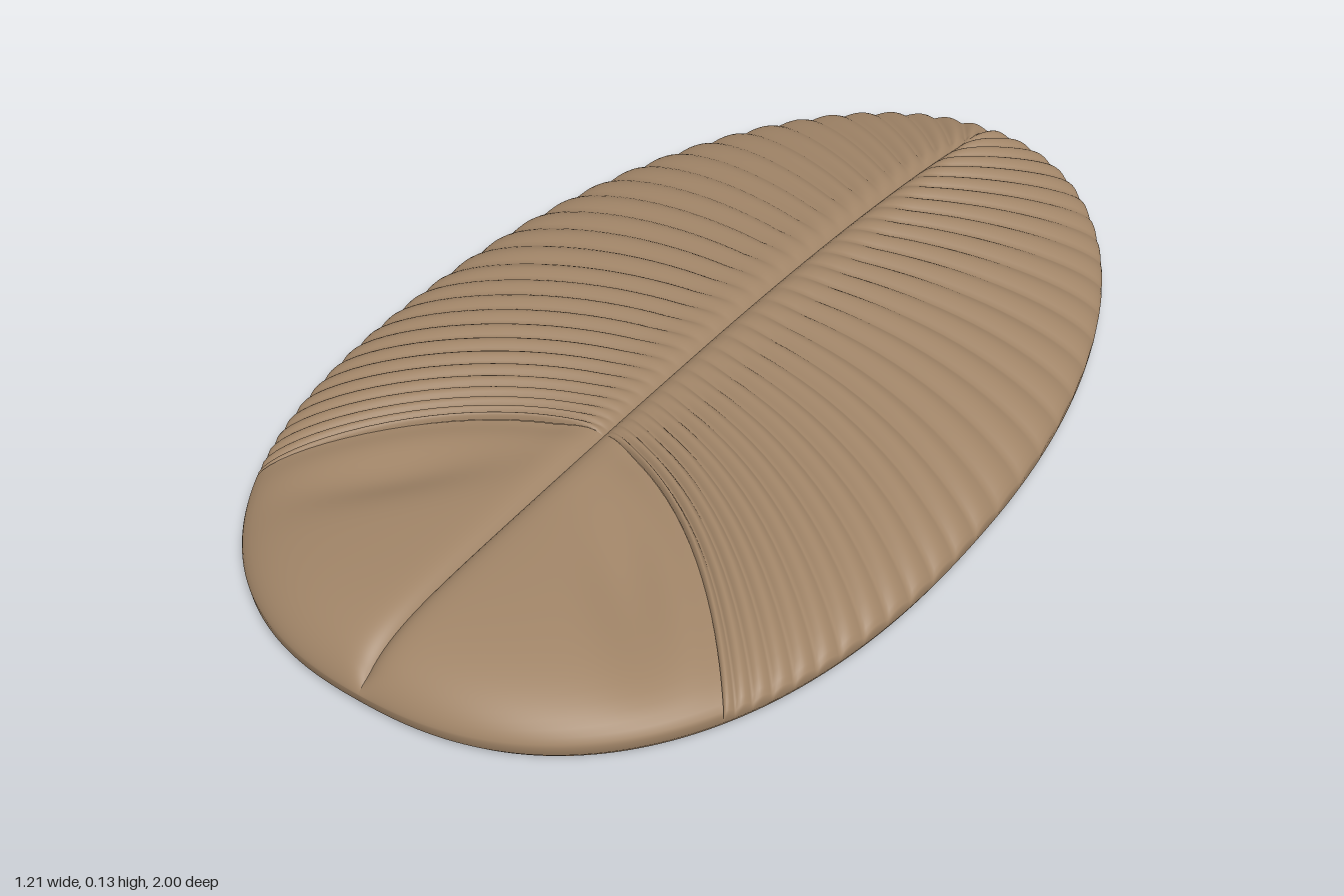
import * as THREE from 'three';

const RIBS = 30, COLS = 26;
const HALF_W = 0.607, MID_Z = 0.1, FRONT = 0.9, BACK = 1.1, HEAD_ANGLE = 0.81;
// Rounded rim below the widest line: [scale, height]
const RIM = [[0.998, 0.012], [0.988, 0]];
const pow0 = (b, e) => Math.pow(Math.max(0, b), e);
const bell = (d, w) => Math.exp(-((d / w) ** 2));

// Egg-shaped outline: half width at a given z
function halfWidth(z) {
  const t = z > MID_Z ? (z - MID_Z) / FRONT : (MID_Z - z) / BACK;
  return z > MID_Z ? HALF_W * pow0(1 - t ** 2.4, 1 / 2.4) : HALF_W * Math.sqrt(Math.max(0, 1 - t * t));
}

// Point on the rim, from angle 0 (front) to PI (back)
function rimPoint(a) {
  const c = Math.cos(a);
  const z = MID_Z + (c > 0 ? FRONT : BACK) * c;
  return [a > Math.PI - 1e-6 || a < 1e-6 ? 0 : halfWidth(z), z];
}

// Smooth dome height above the rim, 0 to about 0.1
function dome(x, z) {
  if (z > MID_Z) {
    const t = (z - MID_Z) / FRONT, w = halfWidth(z);
    const u = w > 1e-5 ? Math.min(1, x / w) : 0;
    return (0.103 - 0.018 * t * t) * pow0(1 - u ** 2.2, 0.6) * pow0(1 - t ** 14, 0.7);
  }
  const t = (MID_Z - z) / BACK;
  const rho = Math.hypot(x / HALF_W, t);
  return 0.103 * pow0(1 - rho ** 2.2, 0.6) * (1 - 0.15 * t * t);
}

// Curves that run from the midline to the rim, bowed backwards
const bandCurve = s => ({
  mid: 0.37 - 1.33 * s ** 1.35,
  rim: rimPoint(HEAD_ANGLE + (Math.PI - HEAD_ANGLE) * s ** 1.3),
  bow: -0.13 * (1 - s),
});
const headCurve = s => ({
  mid: 0.37 + 0.61 * s,
  rim: rimPoint(HEAD_ANGLE * (1 - s)),
  bow: -0.13 * (1 - s) ** 2,
});

function curvePoint({ mid, rim, bow }, u) {
  const a = 2 * u * (1 - u), b = u * u;
  const cz = (mid + rim[1]) / 2 + bow;
  return [a * rim[0] / 2 + b * rim[0], (1 - u) ** 2 * mid + a * cz + b * rim[1]];
}

// Pleats with rounded tops and sharp creases
function ribRelief(s, u) {
  const pleat = Math.abs(Math.sin(Math.PI * RIBS * s));
  return -0.013 * (1 - pleat) * Math.min(1, u * 6) * (1 - 0.4 * u ** 4);
}

// Head lobes: a crease at the border and a slanting hollow on each side
function headRelief(s, u, x, z) {
  const along = (x - 0.1) * 0.73 + (z - 0.5) * 0.68;
  const across = (x - 0.1) * 0.68 - (z - 0.5) * 0.73;
  const hollow = 0.03 * bell(across, 0.065) * bell(along - 0.22, 0.2);
  return (-0.013 * bell(s, 0.06) - hollow) * Math.min(1, u * 6) * (1 - u ** 4);
}

// Nearly flat underside, rising into a midline furrow and a head-border furrow
function undersideHeight(s, x, z) {
  const room = Math.min(1, dome(x, z) / 0.07);
  return room * (0.004 + 0.05 * Math.exp(-x / 0.08) + 0.012 * bell(s, 0.03));
}

// One skin patch, upper (with relief) or underside, on one side of the body
function patch(curve, rows, side, head, relief) {
  const pos = [], index = [];
  const cols = relief ? COLS + RIM.length : COLS;
  const [footScale] = RIM[RIM.length - 1];
  for (let i = 0; i <= rows; i++) {
    const s = i / rows, c = curve(s);
    if (!relief) c.bow *= 0.4;
    for (let j = 0; j <= cols; j++) {
      const u = 0.5 - 0.5 * Math.cos(Math.PI * Math.min(1, j / COLS));
      const [x, z] = curvePoint(c, u);
      if (!relief) {
        pos.push(side * x * footScale, undersideHeight(s, x, z), z * footScale);
      } else if (j > COLS) {
        const [k, y] = RIM[j - COLS - 1];
        pos.push(side * x * k, y, z * k);
      } else {
        const h = dome(x, z);
        const groove = 0.02 * Math.exp(-x / 0.016) * Math.min(1, h / 0.04);
        pos.push(side * x, Math.max(0.016, 0.028 + h - groove + relief(s, u, x, z)), z);
      }
    }
  }
  const flip = (side < 0) !== (!relief !== head);
  for (let i = 0; i < rows; i++) {
    for (let j = 0; j < cols; j++) {
      const a = i * (cols + 1) + j, b = a + 1, d = a + cols + 1, e = d + 1;
      if (flip) index.push(a, d, b, b, d, e);
      else index.push(a, b, d, b, e, d);
    }
  }
  const g = new THREE.BufferGeometry();
  g.setAttribute('position', new THREE.Float32BufferAttribute(pos, 3));
  g.setIndex(index);
  g.computeVertexNormals();
  return g;
}

export function createModel() {
  const model = new THREE.Group();
  model.name = 'ribbedOvalBody';
  const skin = new THREE.MeshStandardMaterial({ color: 0xa08467, side: THREE.DoubleSide });
  skin.name = 'tan skin';

  for (const [label, side] of [['left', 1], ['right', -1]]) {
    const half = new THREE.Group();
    half.name = label + 'Half';
    const add = (name, geometry) => {
      const mesh = new THREE.Mesh(geometry, skin);
      mesh.name = label + name;
      half.add(mesh);
    };
    add('RibbedBack', patch(bandCurve, RIBS * 8, side, false, ribRelief));
    add('HeadLobe', patch(headCurve, 64, side, true, headRelief));
    add('BackUnderside', patch(bandCurve, 120, side, false));
    add('HeadUnderside', patch(headCurve, 64, side, true));
    model.add(half);
  }
  return model;
}
